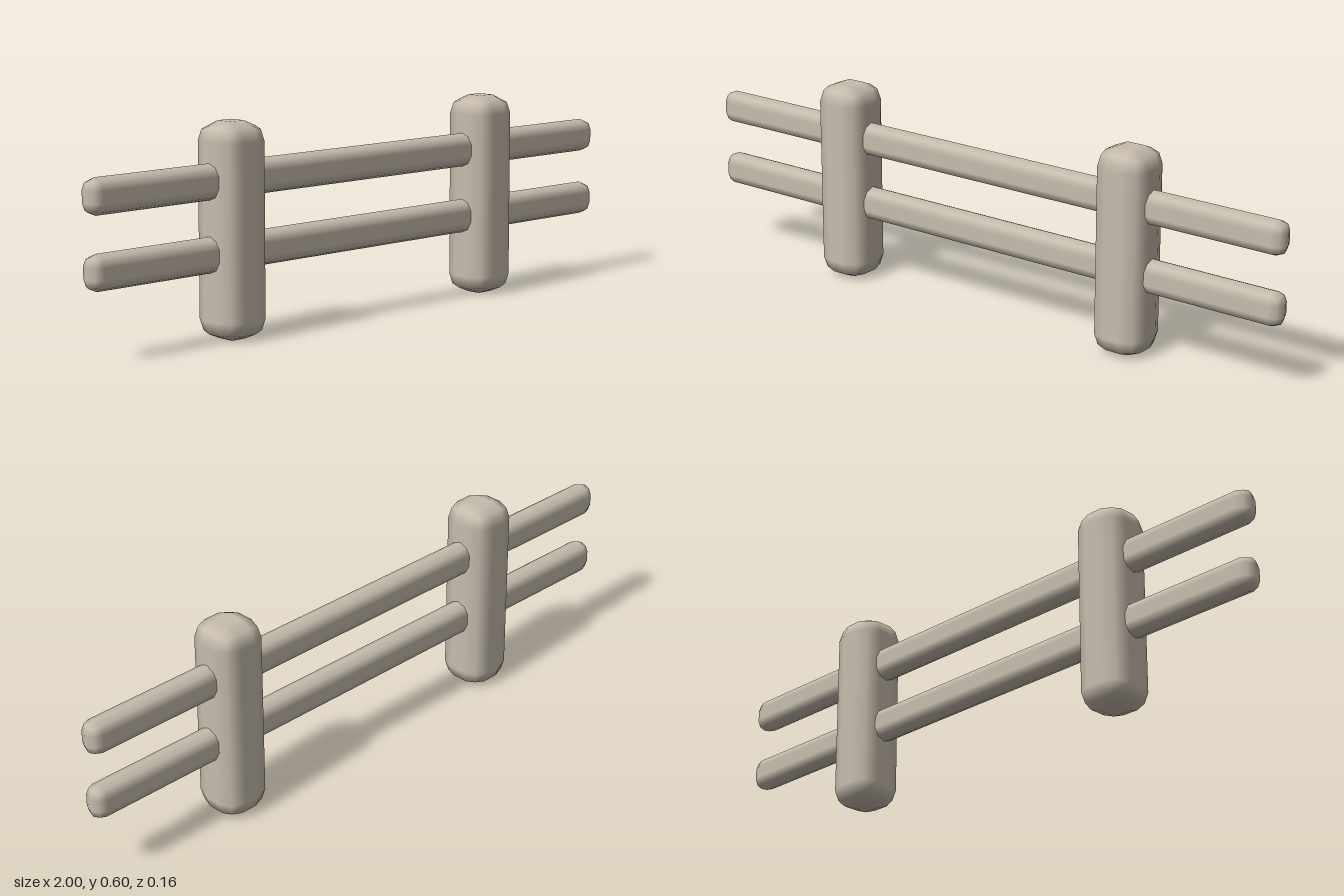
import * as THREE from 'three';
import { RoundedBoxGeometry } from 'three/addons/geometries/RoundedBoxGeometry.js';

export function createModel() {
  const fence = new THREE.Group();
  fence.name = 'fence';

  const wood = new THREE.MeshStandardMaterial({ color: 0xc6bcad });
  wood.name = 'paleWood';

  // One bevel segment gives the soft, low-poly rounded edges
  const addBeam = (name, size, radius, x, y) => {
    const beam = new THREE.Mesh(new RoundedBoxGeometry(...size, 1, radius), wood);
    beam.name = name;
    beam.position.set(x, y, 0);
    fence.add(beam);
  };

  // Upright posts
  addBeam('leftPost', [0.16, 0.602, 0.16], 0.055, 0.5, 0.301);
  addBeam('rightPost', [0.16, 0.602, 0.16], 0.055, -0.5, 0.301);

  // Horizontal rails running through both posts
  addBeam('lowerRail', [2, 0.1, 0.07], 0.033, 0, 0.241);
  addBeam('upperRail', [2, 0.1, 0.07], 0.033, 0, 0.441);

  return fence;
}
